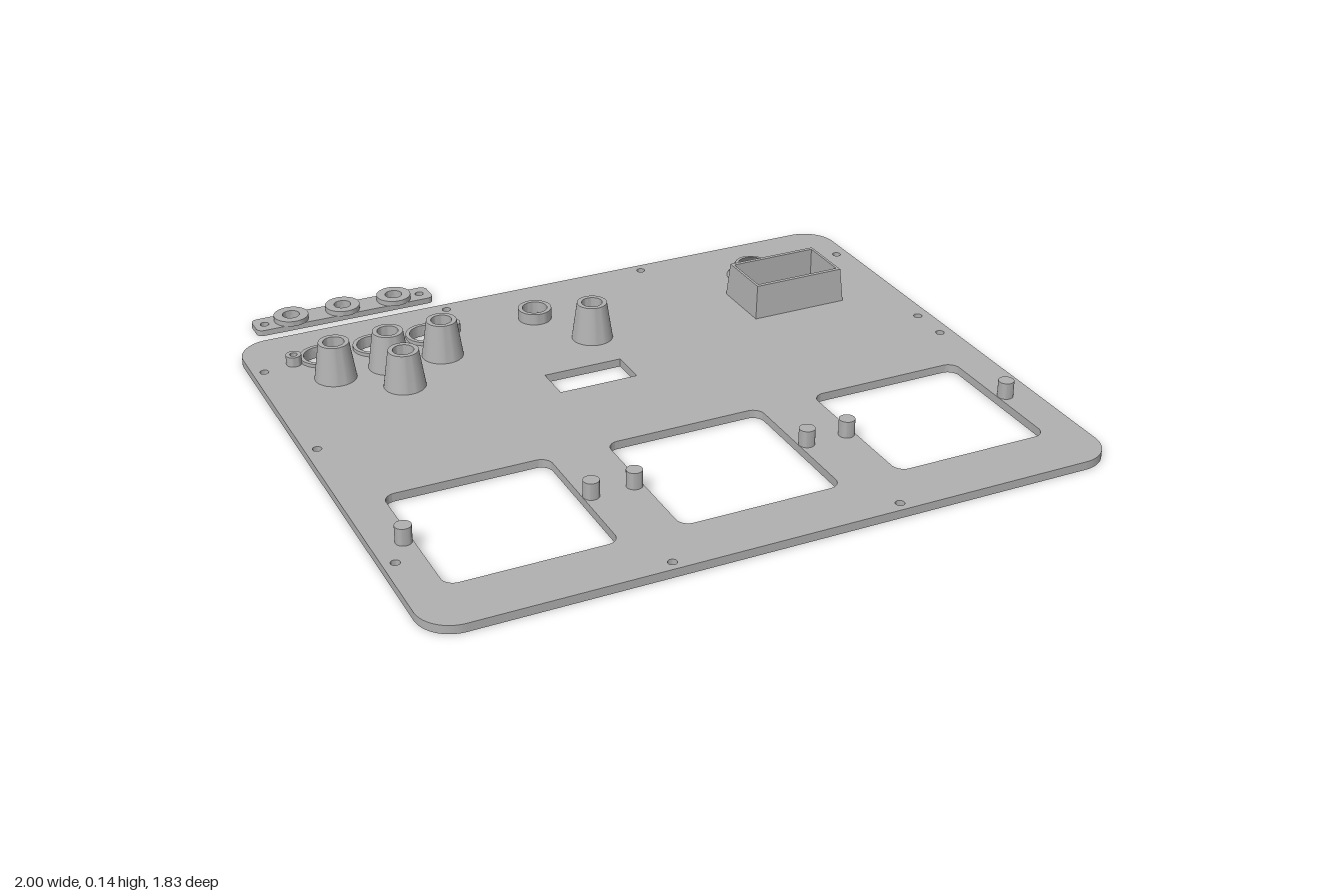
import * as THREE from 'three';
import { toCreasedNormals } from 'three/addons/utils/BufferGeometryUtils.js';

const PLATE = 0.025; // plate thickness

// Rounded rectangle outline; z is flipped because the shape is later laid flat.
function roundRect(path, x, z, hw, hd, r) {
  const y = -z;
  path.moveTo(x - hw + r, y - hd);
  path.lineTo(x + hw - r, y - hd);
  path.absarc(x + hw - r, y - hd + r, r, -Math.PI / 2, 0);
  path.lineTo(x + hw, y + hd - r);
  path.absarc(x + hw - r, y + hd - r, r, 0, Math.PI / 2);
  path.lineTo(x - hw + r, y + hd);
  path.absarc(x - hw + r, y + hd - r, r, Math.PI / 2, Math.PI);
  path.lineTo(x - hw, y - hd + r);
  path.absarc(x - hw + r, y - hd + r, r, Math.PI, Math.PI * 1.5);
  return path;
}

function rect(path, x, z, hw, hd) {
  path.moveTo(x - hw, -z - hd);
  path.lineTo(x + hw, -z - hd);
  path.lineTo(x + hw, -z + hd);
  path.lineTo(x - hw, -z + hd);
  path.closePath();
  return path;
}

const circle = (x, z, r) => new THREE.Path().absarc(x, -z, r, 0, Math.PI * 2);

function slab(shape, depth) {
  const g = new THREE.ExtrudeGeometry(shape, { depth, bevelEnabled: false, curveSegments: 24 });
  g.rotateX(-Math.PI / 2);
  return toCreasedNormals(g, 0.5);
}

// Turned part from an [r, y] profile running up the outside and down the inside.
function turned(profile) {
  const points = profile.map(([r, y]) => new THREE.Vector2(r, y));
  return toCreasedNormals(new THREE.LatheGeometry(points, 40), 0.5);
}

const tube = (outer, inner, y0, y1) =>
  turned([[outer, y0], [outer, y1], [inner, y1], [inner, y0], [outer, y0]]);

export function createModel() {
  const group = new THREE.Group();
  const grey = new THREE.MeshStandardMaterial({ color: 0xb0b0b0 });
  grey.name = 'grey plastic';

  const add = (name, geometry, x = 0, z = 0, y = 0) => {
    const mesh = new THREE.Mesh(geometry, grey);
    mesh.name = name;
    mesh.position.set(x, y, z);
    group.add(mesh);
  };

  const columns = [-0.785, -0.62, -0.453];
  const windows = [-0.65, 0, 0.65];
  const bell = [0.635, -0.532];
  const box = { x: 0.652, z: -0.342, hw: 0.137, hd: 0.078 };

  // Panel plate with all its cut-outs
  const panel = roundRect(new THREE.Shape(), 0, 0.082, 1, 0.83, 0.1);
  for (const x of windows) panel.holes.push(roundRect(new THREE.Path(), x, 0.5, 0.238, 0.236, 0.035));
  for (const x of columns) panel.holes.push(circle(x, -0.565, 0.053));
  panel.holes.push(circle(-0.11, -0.542, 0.038));
  panel.holes.push(circle(...bell, 0.072));
  panel.holes.push(rect(new THREE.Path(), -0.11, -0.122, 0.121, 0.058));
  panel.holes.push(rect(new THREE.Path(), box.x, box.z, box.hw, box.hd));
  const screwHoles = [
    [-0.335, -0.712], [0.33, -0.712], [-0.335, 0.88], [0.33, 0.88], [-0.965, -0.55],
    [0.96, -0.55], [-0.965, -0.05], [0.96, -0.05], [0.96, 0.077], [-0.965, 0.585],
  ];
  for (const [x, z] of screwHoles) panel.holes.push(circle(x, z, 0.013));
  add('panelPlate', slab(panel, PLATE));

  // Pegs on both sides of each large window
  const peg = toCreasedNormals(new THREE.CylinderGeometry(0.023, 0.023, 0.055, 28), 0.5);
  for (const x of windows) for (const s of [-1, 1]) add('windowPeg', peg, x + s * 0.262, 0.5, 0.0475);

  // Low collars around the row of round holes, with a screw boss at each end
  const collar = tube(0.065, 0.053, PLATE, 0.036);
  for (const x of columns) add('holeCollar', collar, x, -0.565);
  const boss = turned([[0.023, PLATE], [0.023, 0.055], [0.011, 0.055], [0.011, 0.026], [0, 0.026]]);
  for (const x of [-0.87, -0.37]) add('screwBoss', boss, x, -0.565);

  // Tapered sockets, open at the top
  const socket = turned([[0.062, PLATE], [0.045, 0.14], [0.031, 0.14], [0.031, 0.026], [0, 0.026]]);
  for (const x of columns) add('taperedSocket', socket, x, -0.432);
  add('taperedSocket', socket, -0.62, -0.298);
  add('taperedSocket', socket, -0.003, -0.35);

  // Plain collar and hollow bell
  add('tallCollar', tube(0.051, 0.038, PLATE, 0.06), -0.11, -0.542);
  add('hollowBell', turned([[0.077, PLATE], [0.05, 0.068], [0.04, 0.068], [0.072, PLATE]]), ...bell);

  // Open box whose outer walls lean in towards the rim
  const frame = rect(new THREE.Shape(), 0, 0, 0.153, 0.099);
  frame.holes.push(rect(new THREE.Path(), 0, 0, box.hw, box.hd));
  const frameGeo = slab(frame, 0.105);
  const p = frameGeo.attributes.position;
  for (let i = 0; i < p.count; i++) {
    if (p.getY(i) > 0.05 && Math.abs(p.getX(i)) > 0.145) {
      p.setX(i, Math.sign(p.getX(i)) * 0.145);
      p.setZ(i, Math.sign(p.getZ(i)) * 0.09);
    }
  }
  frameGeo.computeVertexNormals();
  add('openBox', frameGeo, box.x, box.z, PLATE);

  // Separate retaining bar behind the panel
  const bar = roundRect(new THREE.Shape(), -0.619, -0.868, 0.284, 0.042, 0.02);
  for (const x of columns) bar.holes.push(circle(x, -0.868, 0.026));
  for (const x of [-0.87, -0.368]) bar.holes.push(circle(x, -0.868, 0.013));
  add('retainingBar', slab(bar, 0.018));
  const barRing = tube(0.053, 0.026, 0.018, 0.034);
  for (const x of columns) add('barRing', barRing, x, -0.868);

  return group;
}
